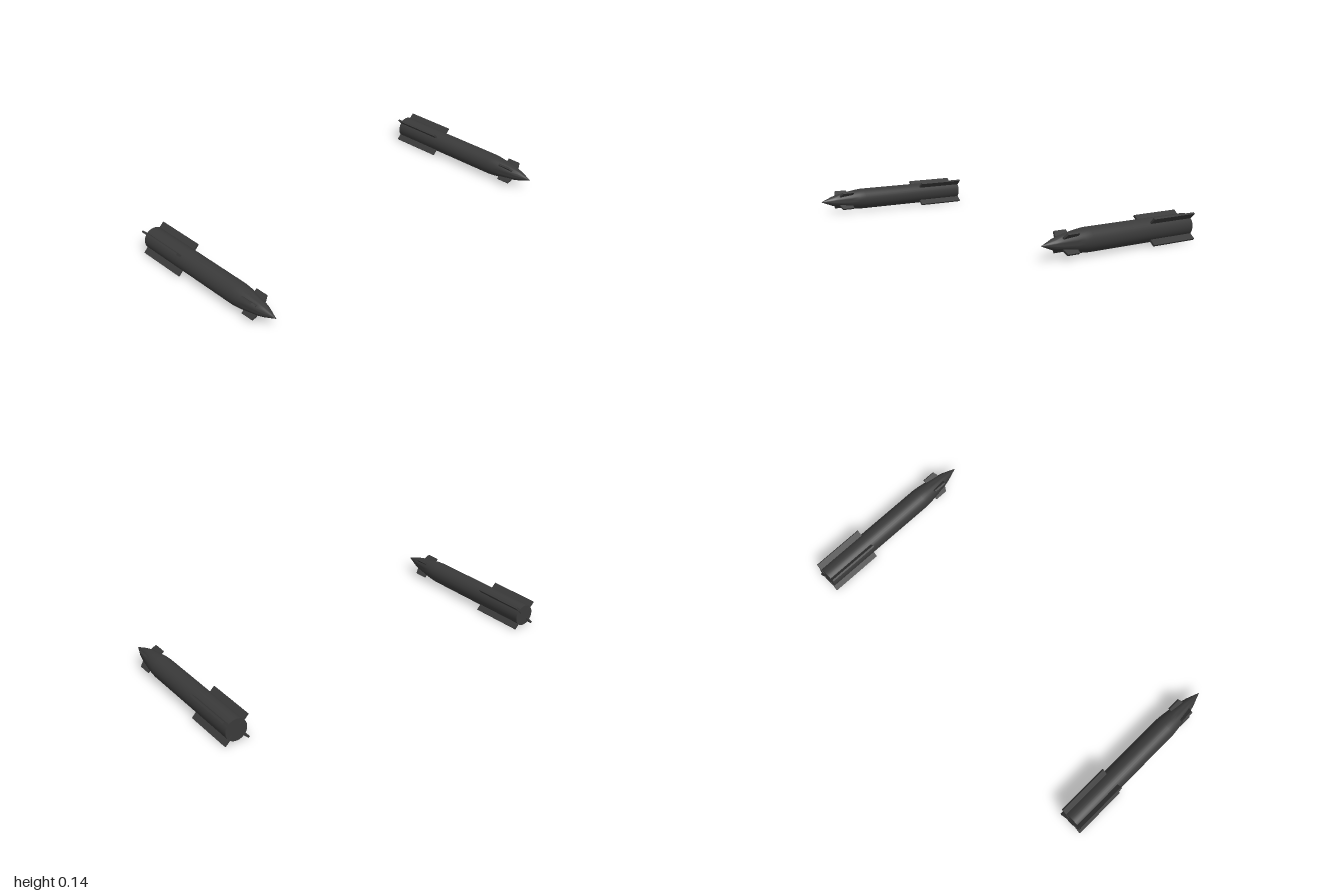
import * as THREE from 'three';
import { toCreasedNormals } from 'three/addons/utils/BufferGeometryUtils.js';

const material = new THREE.MeshStandardMaterial({ color: 0x3a3a3a });
const FIN_THICKNESS = 0.01;

// Fin outline: x runs along the body, y is the distance from its axis
function finGeometry(outline) {
  const shape = new THREE.Shape(outline.map(([x, y]) => new THREE.Vector2(x, y)));
  const geometry = new THREE.ExtrudeGeometry(shape, { depth: FIN_THICKNESS, bevelEnabled: false });
  return geometry.translate(0, 0, -FIN_THICKNESS / 2);
}

// Closed body of revolution, from flat tail to pointed nose, laid along x
function bodyGeometry() {
  const profile = [
    [0, -0.478], [0.0585, -0.478], [0.0585, 0.21], [0.055, 0.25],
    [0.048, 0.3], [0.036, 0.37], [0.027, 0.405], [0, 0.48],
  ].map(([r, x]) => new THREE.Vector2(r, x));
  const lathe = new THREE.LatheGeometry(profile, 32).rotateZ(-Math.PI / 2);
  return toCreasedNormals(lathe, Math.PI / 6);
}

export function createModel() {
  const model = new THREE.Group();
  model.name = 'missilePair';

  const body = bodyGeometry();
  const tailFin = finGeometry([[-0.48, 0.03], [-0.187, 0.03], [-0.187, 0.092], [-0.48, 0.092]]);
  const noseFin = finGeometry([[0.288, 0.02], [0.37, 0.02], [0.37, 0.043], [0.36, 0.067], [0.288, 0.067]]);

  for (const side of [1, -1]) {
    const missile = new THREE.Group();
    missile.name = side > 0 ? 'frontMissile' : 'rearMissile';
    missile.position.set(0, 0.07, side * 0.93);

    const add = (name, geometry, angle = 0) => {
      const mesh = new THREE.Mesh(geometry, material);
      mesh.name = name;
      mesh.rotation.x = angle;
      missile.add(mesh);
    };

    add('body', body);
    // Four tail fins and four nose fins in an X arrangement
    for (let i = 0; i < 4; i++) {
      const angle = Math.PI / 4 + (i * Math.PI) / 2;
      add('tailFin', tailFin, angle);
      add('noseFin', noseFin, angle);
    }
    model.add(missile);
  }
  return model;
}
